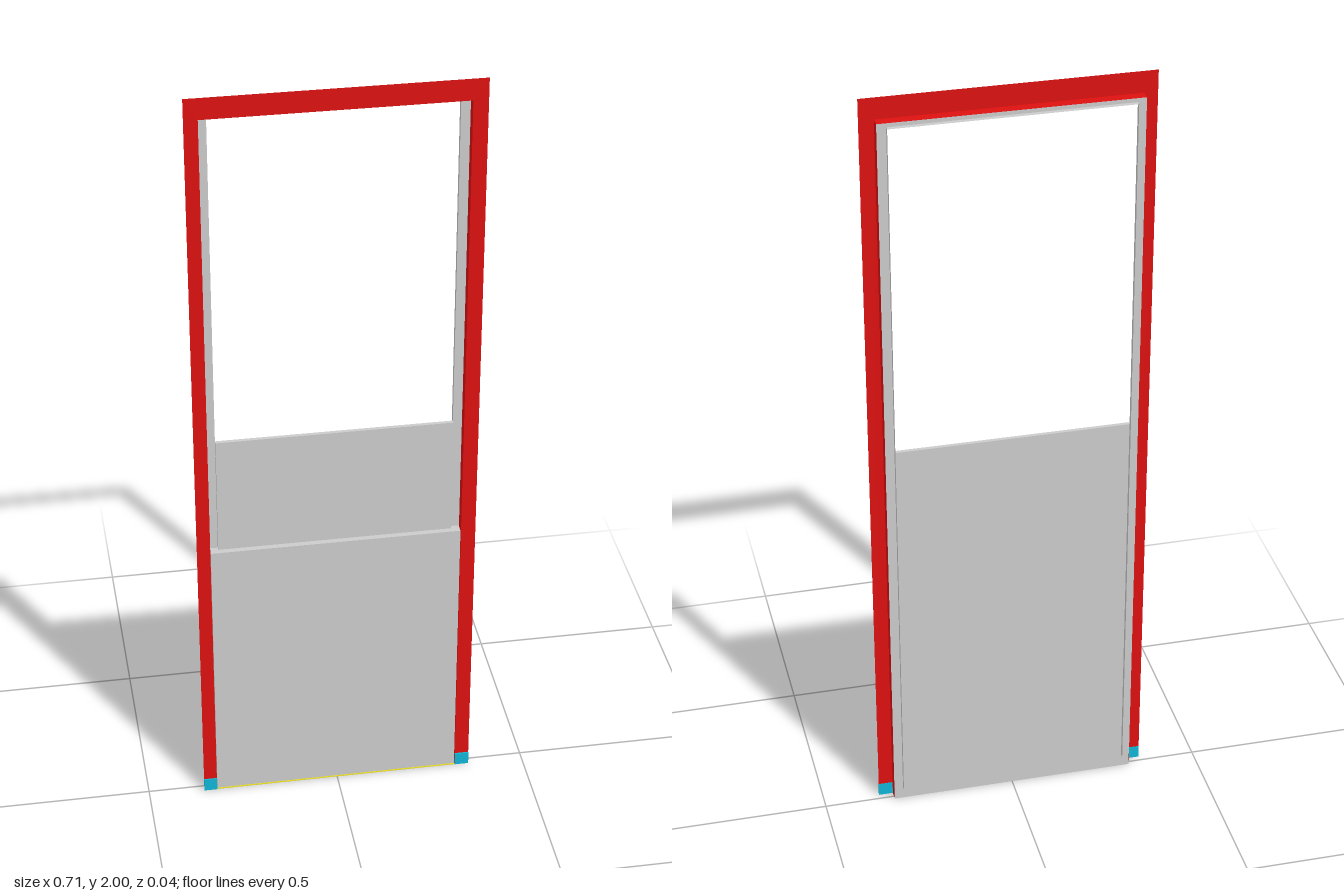
import * as THREE from 'three';

const material = (color) => new THREE.MeshStandardMaterial({ color, side: THREE.DoubleSide });

// Outline of a doorway: up one side, across the head and down the other
const doorway = ({ left, right, bottom, top }) => [
  [left, bottom], [left, top], [right, top], [right, bottom],
];

// Flat sheet between two doorway outlines
function flatFrame(outer, inner, z) {
  const points = [...doorway(outer), ...doorway(inner).reverse()];
  const shape = new THREE.Shape(points.map(([x, y]) => new THREE.Vector2(x, y)));
  return new THREE.ShapeGeometry(shape).translate(0, 0, z);
}

// Thin sheet that follows a doorway outline through the depth z0..z1
function reveal(outline, z0, z1) {
  const p = doorway(outline);
  const positions = [];
  for (let i = 0; i < p.length - 1; i++) {
    const [ax, ay] = p[i], [bx, by] = p[i + 1];
    positions.push(ax, ay, z0, bx, by, z0, bx, by, z1, ax, ay, z0, bx, by, z1, ax, ay, z1);
  }
  const geometry = new THREE.BufferGeometry();
  geometry.setAttribute('position', new THREE.Float32BufferAttribute(positions, 3));
  geometry.computeVertexNormals();
  return geometry;
}

function block(x0, x1, y0, y1, z0, z1) {
  return new THREE.BoxGeometry(x1 - x0, y1 - y0, z1 - z0)
    .translate((x0 + x1) / 2, (y0 + y1) / 2, (z0 + z1) / 2);
}

export function createModel() {
  const model = new THREE.Group();
  model.name = 'doorFrame';
  const red = material(0xdd1111);
  const grey = material(0xcccccc);
  const cyan = material(0x11b5d5);
  const yellow = material(0xe6dc20);

  const add = (name, geometry, mat) => {
    const mesh = new THREE.Mesh(geometry, mat);
    mesh.name = name;
    model.add(mesh);
  };

  const front = 0.016, middle = -0.01, back = -0.022, footTop = 0.035;
  const trim = { left: -0.355, right: 0.355, bottom: 0, top: 2 };
  const jamb = { left: -0.321, right: 0.318, bottom: 0, top: 1.945 };
  const stop = { left: -0.299, right: 0.295, bottom: footTop, top: 1.935 };

  // Red casing: face trim and the lining behind it
  add('faceTrim', flatFrame(trim, jamb, front), red);
  add('jambLining', reveal(jamb, front, middle), red);

  // Grey stop: flange inside the lining and a lip towards the back
  add('stopFlange', flatFrame({ ...jamb, bottom: footTop }, stop, middle), grey);
  add('stopLip', reveal(stop, middle, back), grey);

  // Lower and upper panels, flush at the back
  add('lowerPanel', block(jamb.left + 0.001, jamb.right - 0.001, 0, 0.75, middle, front - 0.001), grey);
  add('upperPanel', block(stop.left, stop.right, 0.75, 1.065, middle, 0), grey);

  // Coloured feet and the strip along the floor between them
  add('rightFoot', block(trim.left, jamb.left, 0, footTop, front - 0.001, 0.02), cyan);
  add('leftFoot', block(jamb.right, trim.right, 0, footTop, front - 0.001, 0.02), cyan);
  add('floorStrip', block(jamb.left, jamb.right, 0, 0.002, front, 0.019), yellow);

  return model;
}
